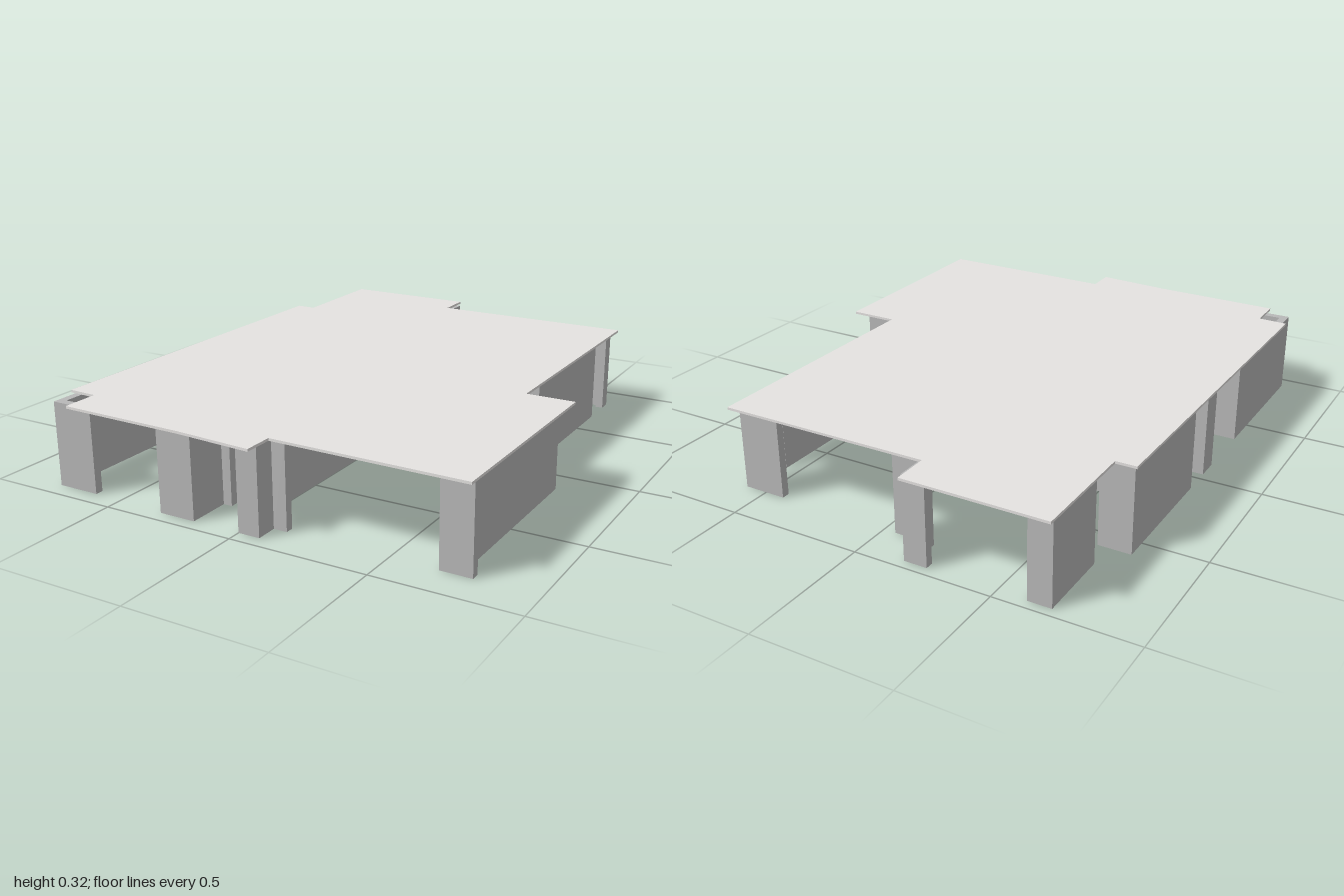
import * as THREE from 'three';

const wallMat = new THREE.MeshStandardMaterial({ color: 0xb8b8b8 });
wallMat.name = 'wall grey';
const roofMat = new THREE.MeshStandardMaterial({ color: 0xe5e3e1 });
roofMat.name = 'roof light grey';

const H = 0.307; // wall height
const T = 0.03;  // wall thickness

export function createModel() {
  const model = new THREE.Group();
  model.name = 'floorPlanBuilding';

  const box = (group, name, x0, x1, z0, z1) => {
    const m = new THREE.Mesh(new THREE.BoxGeometry(x1 - x0, H, z1 - z0), wallMat);
    m.position.set((x0 + x1) / 2, H / 2, (z0 + z1) / 2);
    m.name = name;
    group.add(m);
  };
  // walls given by their span and the lower coordinate of their thickness
  const alongX = (group, name, list) =>
    list.forEach(([x0, x1, z]) => box(group, name, x0, x1, z, z + T));
  const alongZ = (group, name, list) =>
    list.forEach(([z0, z1, x]) => box(group, name, x, x + T, z0, z1));

  const outer = new THREE.Group();
  outer.name = 'outerWalls';
  alongX(outer, 'frontWall', [
    [-0.77, -0.61, 0.905], [-0.315, -0.178, 0.92], [-0.178, -0.145, 0.76],
    [0, 0.08, 0.92], [0.08, 0.13, 0.84], [0.67, 0.782, 0.84],
  ]);
  alongX(outer, 'backWall', [
    [0.425, 0.585, -0.84], [-0.165, -0.045, -0.84], [-0.25, -0.165, -0.965],
    [-0.69, -0.605, -0.965], [-0.74, -0.65, -0.58],
  ]);
  alongZ(outer, 'leftSideWall', [
    [0.12, 0.84, 0.71], [-0.665, -0.08, 0.555], [-0.81, -0.79, 0.555],
    [0.84, 0.92, 0.05],
  ]);
  alongZ(outer, 'rightSideWall', [
    [0.36, 0.905, -0.77], [0.035, 0.12, -0.77], [-0.58, -0.08, -0.77],
    [-0.935, -0.685, -0.69],
  ]);
  alongZ(outer, 'recessWall', [[-0.965, -0.84, -0.195], [0.76, 0.92, -0.208]]);
  model.add(outer);

  const inner = new THREE.Group();
  inner.name = 'innerWalls';
  alongX(inner, 'crossPartition', [
    [0, 0.71, 0.12],         // side room
    [-0.04, 0.555, -0.26],   // back room
    [-0.57, -0.24, -0.26],
    [0.08, 0.37, -0.03],     // closet
    [-0.74, -0.145, 0.36],   // front room
    [-0.51, -0.145, 0.035],  // middle room
    [-0.74, -0.7, 0.035],
    [-0.74, -0.7, -0.11],
  ]);
  alongZ(inner, 'lengthPartition', [
    [0.12, 0.8, -0.03], [-0.18, 0.02, 0.05], [-0.1, 0.02, 0.37],
    [0.065, 0.36, -0.175], [0.065, 0.12, 0.535], [-0.36, -0.26, -0.04],
    [-0.36, -0.26, -0.25], [-0.38, -0.26, -0.6],
  ]);
  model.add(inner);

  // flat roof slab over the whole plan
  const outline = [
    [-0.70, -1], [-0.18, -1], [-0.18, -0.87], [0.605, -0.875], [0.605, 0.09],
    [0.785, 0.09], [0.785, 0.9], [0.085, 0.89], [0.085, 1], [-0.2, 0.98],
    [-0.68, 0.97], [-0.68, 0.835], [-0.79, 0.83], [-0.775, -0.58], [-0.70, -0.58],
  ];
  const shape = new THREE.Shape(outline.map(([x, z]) => new THREE.Vector2(x, -z)));
  const slab = new THREE.ExtrudeGeometry(shape, { depth: 0.009, bevelEnabled: false });
  slab.rotateX(-Math.PI / 2);
  const roof = new THREE.Mesh(slab, roofMat);
  roof.position.y = H;
  roof.name = 'roof';
  model.add(roof);

  return model;
}
